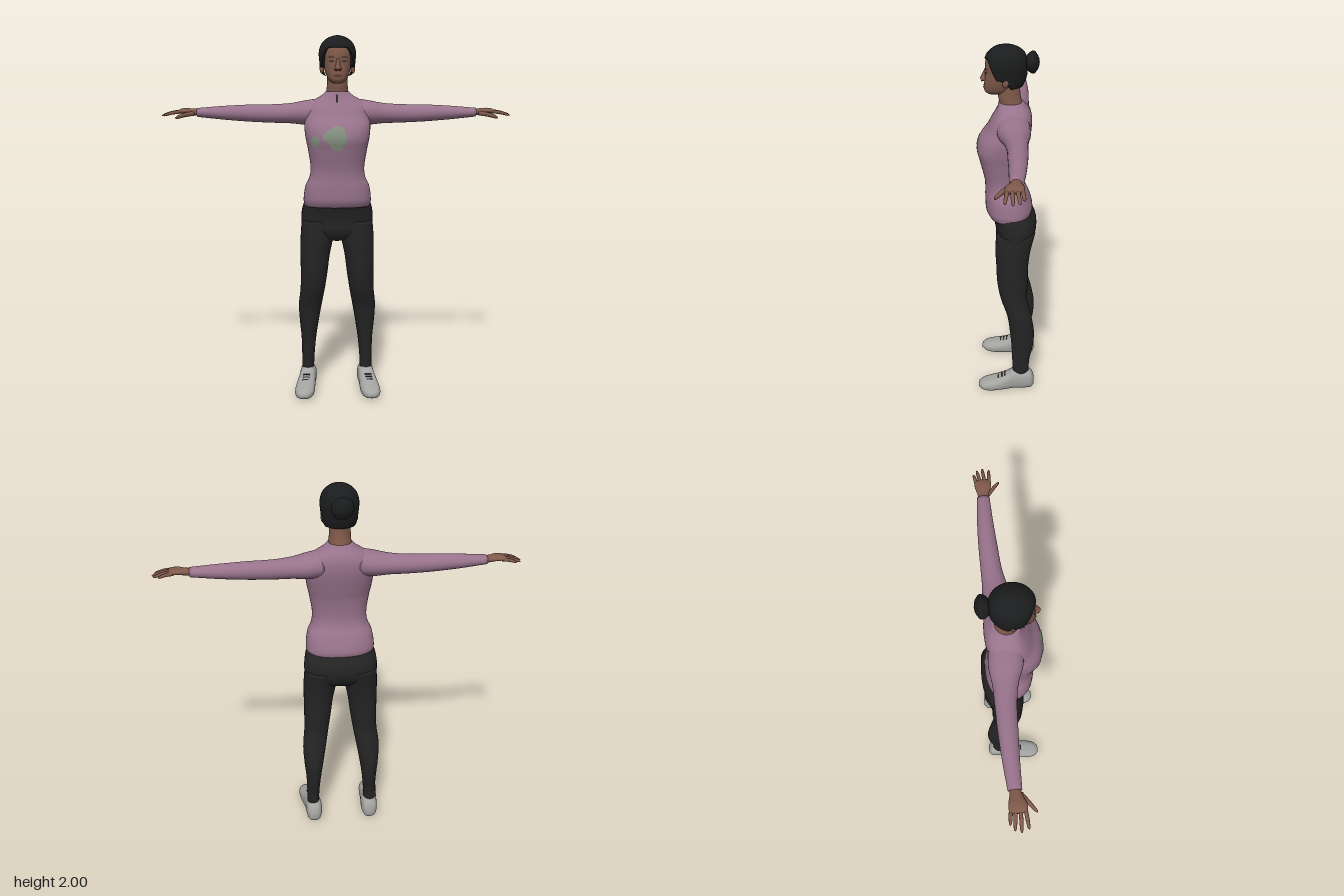
import * as THREE from 'three';

const mat = (name, color) => Object.assign(new THREE.MeshStandardMaterial({ color }), { name });

// Smooth interpolation of section rows [t, cu, cv, ru, rv], sorted by t
function sample(rows, t) {
  let i = 0;
  while (i < rows.length - 2 && t > rows[i + 1][0]) i++;
  const a = rows[i], b = rows[i + 1], p = rows[i - 1] || a, q = rows[i + 2] || b;
  const h = b[0] - a[0], s = THREE.MathUtils.clamp((t - a[0]) / h, 0, 1);
  return a.map((_, k) => {
    const m0 = (b[k] - p[k]) / (b[0] - p[0]) * h, m1 = (q[k] - a[k]) / (q[0] - a[0]) * h;
    return (2 * s ** 3 - 3 * s * s + 1) * a[k] + (s ** 3 - 2 * s * s + s) * m0
      + (3 * s * s - 2 * s ** 3) * b[k] + (s ** 3 - s * s) * m1;
  });
}

const AXES = {
  x: (t, u, v) => [t, u, v],
  y: (t, u, v) => [u, t, v],
  z: (t, u, v) => [u, v, t],
};

// Closed smooth skin through super-elliptic sections; side = -1 mirrors in x
function loft(rows, { axis = 'y', e = 2, n = 32, m = 40, side = 1, bottom = null } = {}) {
  const t0 = rows[0][0], t1 = rows[rows.length - 1][0], pos = [], idx = [];
  const put = (t, u, v) => { const p = AXES[axis](t, u, v); pos.push(p[0] * side, p[1], p[2]); };
  const bend = (c) => Math.sign(c) * Math.abs(c) ** (2 / e);
  for (let j = 0; j <= m; j++) for (let i = 0; i < n; i++) {
    const a = i / n * Math.PI * 2, lo = bottom ? bottom(a) : t0;
    const t = lo + (t1 - lo) * j / m, s = sample(rows, t), k = bottom && j === 0 ? 0.8 : 1;
    put(t, s[1] + s[3] * k * bend(Math.cos(a)), s[2] + s[4] * k * bend(Math.sin(a)));
  }
  for (let j = 0; j < m; j++) for (let i = 0; i < n; i++) {
    const a = j * n + i, b = j * n + (i + 1) % n;
    idx.push(a, b, b + n, a, b + n, a + n);
  }
  // end caps
  for (const [j, row, flip] of [[0, rows[0], true], [m, rows[rows.length - 1], false]]) {
    if (bottom && j === 0) continue;
    const c = pos.length / 3;
    put(row[0], row[1], row[2]);
    for (let i = 0; i < n; i++) {
      const a = j * n + i, b = j * n + (i + 1) % n;
      if (flip) idx.push(c, b, a); else idx.push(c, a, b);
    }
  }
  // turn the faces outward
  if ((axis === 'y') === (side === 1)) idx.reverse();
  const g = new THREE.BufferGeometry();
  g.setAttribute('position', new THREE.Float32BufferAttribute(pos, 3));
  g.setIndex(idx);
  g.computeVertexNormals();
  return g;
}

// Thin sheet on the front of a vertical loft; lines are [y, xLeft, xRight]
function patch(lines, rows, e, lift = 0.003) {
  const n = 12, m = 12, pos = [], idx = [];
  for (let j = 0; j <= m; j++) {
    const y = lines[0][0] + (lines[lines.length - 1][0] - lines[0][0]) * j / m;
    let k = 0;
    while (k < lines.length - 2 && y > lines[k + 1][0]) k++;
    const [a, b] = [lines[k], lines[k + 1]], f = (y - a[0]) / (b[0] - a[0]), s = sample(rows, y);
    for (let i = 0; i <= n; i++) {
      const x0 = a[1] + (b[1] - a[1]) * f, x1 = a[2] + (b[2] - a[2]) * f, x = x0 + (x1 - x0) * i / n;
      const r = Math.min(1, Math.abs(x / s[3]));
      pos.push(x, y, s[2] + s[4] * (1 - r ** e) ** (1 / e) + lift);
    }
  }
  for (let j = 0; j < m; j++) for (let i = 0; i < n; i++) {
    const a = j * (n + 1) + i, b = a + n + 1;
    idx.push(a, a + 1, b + 1, a, b + 1, b);
  }
  const g = new THREE.BufferGeometry();
  g.setAttribute('position', new THREE.Float32BufferAttribute(pos, 3));
  g.setIndex(idx);
  g.computeVertexNormals();
  return g;
}

// Section rows from half width, front z, back z / from outer x, inner x, front z, back z
const body = ([y, w, f, b]) => [y, 0, (f + b) / 2, w, (f - b) / 2];
const limb = ([y, o, i, f, b]) => [y, (o + i) / 2, (f + b) / 2, (o - i) / 2, (f - b) / 2];

const TORSO = [[1.085, .18, .1, -.125], [1.12, .186, .118, -.134], [1.2, .174, .122, -.11], [1.245, .153, .121, -.086],
  [1.3, .146, .126, -.076], [1.4, .16, .15, -.085], [1.46, .172, .163, -.1], [1.52, .178, .148, -.115],
  [1.57, .174, .112, -.124], [1.62, .165, .085, -.125], [1.65, .142, .067, -.118], [1.672, .108, .056, -.106],
  [1.688, .08, .051, -.092], [1.705, .064, .048, -.08]].map(body);
const PELVIS = [[.888, .05, .02, -.07], [.91, .12, .045, -.11], [.95, .19, .063, -.142], [1, .2, .066, -.157],
  [1.05, .197, .075, -.153], [1.1, .184, .088, -.128], [1.13, .165, .09, -.115]].map(body);
const LEG = [[.1, .203, .135, -.035, -.125], [.2, .203, .13, -.03, -.13], [.3, .206, .12, -.025, -.15],
  [.4, .215, .105, -.015, -.153], [.5, .219, .088, 0, -.135], [.6, .208, .07, .035, -.112], [.7, .206, .055, .055, -.115],
  [.8, .206, .042, .06, -.115], [.9, .205, .022, .065, -.128], [1, .198, .012, .06, -.152]].map(limb);
const HEAD = [[1.747, .02, .1, .02], [1.762, .043, .118, -.02], [1.79, .059, .121, -.05], [1.82, .069, .118, -.07],
  [1.86, .076, .115, -.085], [1.9, .08, .115, -.09], [1.94, .075, .104, -.085], [1.97, .055, .08, -.06],
  [1.985, .025, .04, -.02]].map(body);
const NECK = [[1.66, .062, .042, -.078], [1.7, .059, .044, -.074], [1.74, .056, .05, -.065], [1.8, .055, .05, -.06]].map(body);
const HAIR = [[1.77, .08, .1, -.065], [1.82, .091, .114, -.09], [1.87, .097, .12, -.1], [1.91, .099, .121, -.1],
  [1.95, .088, .108, -.09], [1.975, .067, .085, -.068], [1.992, .038, .055, -.035], [2, .005, .02, .01]].map(body);
const SLEEVE = [[.09, 1.6, -.03, .07, .085], [.17, 1.592, -.036, .066, .084], [.25, 1.588, -.046, .055, .064],
  [.35, 1.586, -.055, .05, .053], [.48, 1.588, -.059, .046, .048], [.62, 1.59, -.06, .037, .041], [.762, 1.592, -.057, .024, .033]];
const PALM = [[.74, 1.592, -.057, .019, .026], [.78, 1.595, -.055, .018, .028], [.82, 1.6, -.052, .016, .041],
  [.85, 1.599, -.051, .013, .043], [.868, 1.596, -.051, .007, .036]];
// base x, y, z then tip x, y, z
const FINGERS = [[.84, 1.596, -.083, .915, 1.582, -.094], [.845, 1.599, -.063, .942, 1.578, -.075],
  [.845, 1.599, -.041, .952, 1.576, -.046], [.845, 1.597, -.02, .94, 1.577, -.012], [.775, 1.588, -.035, .868, 1.566, .034]];
// z, centre x, bottom, top, half width
const SHOE = [[-.157, .166, .025, .075, .02], [-.142, .166, .006, .112, .038], [-.1, .166, 0, .13, .047], [-.04, .17, 0, .127, .047],
  [0, .176, 0, .105, .05], [.05, .182, 0, .085, .054], [.1, .187, 0, .071, .054], [.14, .19, .007, .059, .043],
  [.164, .19, .02, .045, .02]].map(([z, x, b, t, w]) => [z, x, (b + t) / 2, w, (t - b) / 2]);

export function createModel() {
  const model = new THREE.Group();
  model.name = 'woman';
  const shirt = mat('mauve shirt', 0x98738c), pants = mat('black leggings', 0x242424), skin = mat('brown skin', 0x80594a),
    hair = mat('black hair', 0x1b1c1d), shoe = mat('grey shoe', 0xa3a4a1), green = mat('grey green print', 0x83907f),
    lip = mat('dark lips', 0x5e3a34), dark = mat('dark trim', 0x2c2626);
  const add = (name, geometry, material, parent = model) => {
    const mesh = new THREE.Mesh(geometry, material);
    mesh.name = name;
    parent.add(mesh);
    return mesh;
  };
  const ball = (name, material, p, s) => {
    const mesh = add(name, new THREE.SphereGeometry(1, 20, 14), material);
    mesh.position.set(...p);
    mesh.scale.set(...s);
    return mesh;
  };

  // clothing on the trunk
  add('shirt', loft(TORSO, { e: 2.35, n: 48, m: 60 }), shirt);
  add('hips', loft(PELVIS, { e: 2.3, n: 40 }), pants);
  add('chestPrint', patch([[1.4, -.025, .02], [1.44, -.05, .042], [1.46, -.085, .05], [1.49, -.075, .042],
    [1.515, -.04, .036], [1.53, -.01, .01]], TORSO, 2.35), green);
  add('sidePrint', patch([[1.41, -.125, -.12], [1.43, -.142, -.105], [1.455, -.145, -.09], [1.475, -.13, -.12]], TORSO, 2.35), green);
  add('zip', patch([[1.65, -.009, .001], [1.69, -.007, .002]], TORSO, 2.35), dark);

  // head and hair
  add('neck', loft(NECK), skin);
  add('head', loft(HEAD, { e: 2.1 }), skin);
  const step = THREE.MathUtils.smoothstep;
  add('hair', loft(HAIR, {
    n: 64, m: 30, bottom: (a) => 1.785 + .045 * step(Math.sin(a), -.5, .1) + .1 * step(Math.sin(a), .35, .88),
  }), hair);
  ball('hairBun', hair, [0, 1.91, -.122], [.056, .052, .037]);
  const coil = add('bunCoil', new THREE.TorusGeometry(.039, .018, 10, 28), hair);
  coil.position.set(0, 1.91, -.126);

  // face
  add('noseBridge', loft([[1.815, 0, .114, .017, .012], [1.825, 0, .118, .018, .023], [1.84, 0, .115, .012, .02],
    [1.875, 0, .108, .008, .01]], { n: 16, m: 16 }), skin);
  add('upperLip', patch([[1.789, -.026, .026], [1.793, -.017, .017], [1.797, -.006, .006]], HEAD, 2.1, .004), lip);
  add('lowerLip', patch([[1.779, -.01, .01], [1.783, -.018, .018], [1.788, -.025, .025]], HEAD, 2.1, .005), lip);
  for (const s of [1, -1]) {
    const span = (y, a, b) => (s > 0 ? [y, a, b] : [y, -b, -a]);
    add('eye', patch([span(1.858, .025, .04), span(1.862, .02, .046), span(1.867, .025, .041)], HEAD, 2.1), dark);
    add('eyebrow', patch([span(1.881, .017, .05), span(1.886, .02, .048)], HEAD, 2.1), dark);
    add('nostril', new THREE.SphereGeometry(.005, 8, 6), lip).position.set(s * .009, 1.817, .13);
    ball('ear', skin, [s * .083, 1.828, .008], [.012, .028, .017]).rotation.x = -.2;
  }

  // limbs, mirrored
  for (const side of [1, -1]) {
    const name = side > 0 ? 'left' : 'right';
    add(name + 'Sleeve', loft(SLEEVE, { axis: 'x', side }), shirt);
    add(name + 'Leg', loft(LEG, { side, m: 50 }), pants);
    add(name + 'Shoe', loft(SHOE, { axis: 'z', e: 2.5, side }), shoe);
    for (let i = 0; i < 3; i++) {
      const lace = add(name + 'Lace', new THREE.BoxGeometry(.04 - i * .003, .005, .008), dark);
      lace.position.set(side * (.177 + i * .003), .1 - i * .008, .012 + i * .019);
      lace.rotation.x = .4;
    }
    const hand = new THREE.Group();
    hand.name = name + 'Hand';
    model.add(hand);
    add('palm', loft(PALM, { axis: 'x', n: 20, m: 16, side }), skin, hand);
    FINGERS.forEach(([x, y, z, X, Y, Z], i) => {
      const r = i === 4 ? .0125 : .0095;
      const rows = [[0, 1], [.5, .95], [.85, .75], [.96, .5], [1, .12]].map(([f, k]) =>
        [x + (X - x) * f, y + (Y - y) * f + .004 * Math.sin(f * Math.PI), z + (Z - z) * f, r * k, r * k]);
      add(i === 4 ? 'thumb' : 'finger', loft(rows, { axis: 'x', n: 12, m: 12, side }), skin, hand);
    });
  }
  return model;
}
